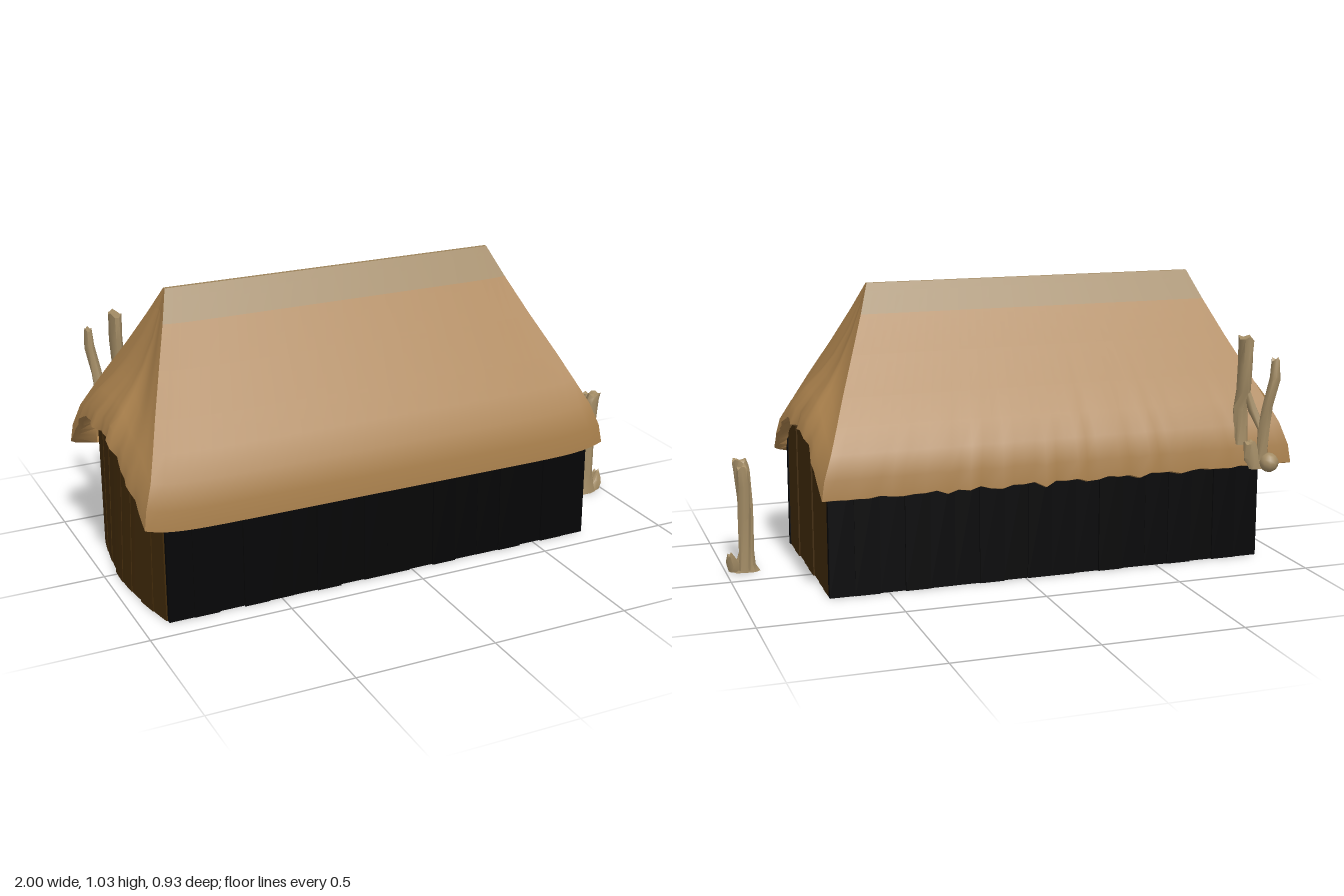
import * as THREE from 'three';
import { toCreasedNormals } from 'three/addons/utils/BufferGeometryUtils.js';

const paint = (name, color) => {
  const m = new THREE.MeshStandardMaterial({ color });
  m.name = name;
  return m;
};
const lerp = THREE.MathUtils.lerp;

// Skin a stack of closed rings (each an array of [x, y, z], counterclockwise from above)
function loft(rings, bottom, top, crease = 0.9) {
  const n = rings[0].length, pos = rings.flat(2), idx = [];
  for (let k = 0; k < rings.length - 1; k++) {
    for (let i = 0; i < n; i++) {
      const j = (i + 1) % n, a = k * n + i, b = k * n + j;
      idx.push(a, b, b + n, a, b + n, a + n);
    }
  }
  const cap = (k, up) => {
    const c = pos.length / 3;
    for (let d = 0; d < 3; d++) pos.push(rings[k].reduce((s, p) => s + p[d], 0) / n);
    for (let i = 0; i < n; i++) {
      const a = k * n + i, b = k * n + (i + 1) % n;
      idx.push(...(up ? [a, b, c] : [b, a, c]));
    }
  };
  if (bottom) cap(0, false);
  if (top) cap(rings.length - 1, true);
  const g = new THREE.BufferGeometry();
  g.setAttribute('position', new THREE.Float32BufferAttribute(pos, 3));
  g.setIndex(idx);
  return toCreasedNormals(g, crease);
}

// Height of the arched eave across an end of the house
const ARCH = [[0.455, 0.368], [0.36, 0.445], [0.25, 0.49], [0.13, 0.562], [0, 0.56],
  [-0.17, 0.55], [-0.25, 0.49], [-0.32, 0.43], [-0.39, 0.365]];
function arch(z) {
  for (let i = 1; i < ARCH.length; i++) {
    const [z0, y0] = ARCH[i - 1], [z1, y1] = ARCH[i];
    if (z >= z1) return lerp(y0, y1, Math.max(0, (z - z0) / (z1 - z0)));
  }
  return 0.365;
}

// Steps taken around the roof: front, left end, back, right end
const SIDES = [['front', 40], ['left', 28], ['back', 44], ['right', 28]];

// Eave point, ragged offset and matching ridge point for every step
function roofOutline() {
  const out = [];
  const x0 = -0.985, x1 = 0.75, zF = 0.455, zB = -0.385;
  const ridge = { x0: -0.747, x1: 0.483, f: 0.048, b: 0.034, y: 1.034 };
  const ragged = (v) => 0.5 * Math.sin(v * 37) + 0.5 * Math.sin(v * 71 + 1);
  for (const [side, n] of SIDES) {
    for (let i = 0; i < n; i++) {
      const f = i / n, bulge = Math.sin(Math.PI * f);
      if (side === 'front') {
        // the front eave curls up and back near its corners
        const curl = Math.abs(2 * f - 1) ** 12;
        out.push({ e: [lerp(x0, x1, f), 0.345 + 0.023 * curl, 0.466 - 0.011 * curl], noise: [0, 0, 0],
          end: 0, r: [lerp(ridge.x0, ridge.x1, f), ridge.y, ridge.f] });
      } else if (side === 'back') {
        const x = lerp(x1, x0, f);
        out.push({ e: [x, 0.37, zB], end: 0,
          noise: [0, 0.013 * bulge * ragged(x), 0.01 * bulge * ragged(x * 1.3)],
          r: [lerp(ridge.x1, ridge.x0, f), ridge.y, ridge.b] });
      } else {
        const left = side === 'left', g = left ? f : 1 - f, z = lerp(zF, zB, g);
        out.push({ e: [left ? x1 + 0.015 * bulge : x0 - 0.008 * bulge, arch(z), z], end: bulge,
          noise: [0.014 * bulge * ragged(z), 0.008 * bulge * ragged(z + 2), 0],
          r: [left ? ridge.x1 : ridge.x0, ridge.y, lerp(ridge.f, ridge.b, g)] });
      }
    }
  }
  return out;
}

// Rise, inward travel of the long slopes, of the hip corners, and of the middle of the ends
const LEVELS = [[0, 0, 0, 0], [0.1, 0.015, 0.04, 0.06], [0.22, 0.07, 0.15, 0.24], [0.34, 0.21, 0.28, 0.44],
  [0.47, 0.37, 0.42, 0.61], [0.66, 0.61, 0.64, 0.79], [0.85, 0.83, 0.85, 0.92],
  [0.96, 0.955, 0.96, 0.98], [1, 1, 1, 1]];

function createRoofRings() {
  const outline = roofOutline(), clamp = THREE.MathUtils.clamp;
  const soffit = outline.map(({ e }) => [clamp(e[0], -0.92, 0.69), e[1] + 0.025, clamp(e[2], -0.27, 0.4)]);
  const lip = outline.map(({ e, noise }) => [(e[0] + noise[0]) * 0.985, e[1] + noise[1] - 0.004, (e[2] + noise[2]) * 0.97]);
  // the raggedness fades out quickly above the eave
  const slopes = LEVELS.map(([rise, long, corner, hip]) => outline.map(({ e, r, noise, end }) => {
    const travel = [lerp(corner, hip, end), rise, lerp(long, hip, end)], fade = (1 - rise) ** 7;
    return travel.map((t, d) => lerp(e[d], r[d], t) + noise[d] * fade);
  }));
  return [soffit, lip, ...slopes];
}

// Ridge cap: pale straw (0) on the long slopes and top, thatch (1) on the hip ends
function createRidgeCap(rings) {
  const g = loft(rings, false, true);
  let start = 0;
  for (let band = 1; band < rings.length; band++) {
    for (const [side, n] of SIDES) {
      g.addGroup(start, n * 6, side === 'front' || side === 'back' ? 0 : 1);
      start += n * 6;
    }
  }
  g.addGroup(start, rings[0].length * 3, 0);
  return g;
}

// Knotty limb through sections [x, y, z, half width x, half width z]
function limb(sections) {
  const rings = sections.map(([x, y, z, rx, rz], k) => Array.from({ length: 9 }, (_, i) => {
    const a = -i / 9 * Math.PI * 2, w = 1 + 0.1 * Math.sin(i * 2.3 + k * 1.7);
    return [x + Math.cos(a) * rx * w, y + 0.008 * Math.sin(i * 2 + k) * Math.min(k, 1), z + Math.sin(a) * rz * w];
  }));
  return loft(rings, true, true);
}

export function createModel() {
  const model = new THREE.Group();
  const thatch = paint('thatch', 0xa87f4b);
  const ridgeStraw = paint('ridge straw', 0x9c835b);
  const tarred = paint('tarred boards', 0x050506);
  const brown = paint('brown boards', 0x412a09);
  const wood = paint('bare wood', 0xa48d66);
  thatch.side = THREE.DoubleSide;

  const add = (name, geometry, material, parent = model) => {
    const mesh = new THREE.Mesh(geometry, material);
    mesh.name = name;
    parent.add(mesh);
  };
  const group = (name) => {
    const g = new THREE.Group();
    g.name = name;
    model.add(g);
    return g;
  };

  // Thatched hip roof with its ridge cap
  const rings = createRoofRings(), split = rings.length - 3;
  add('thatchedRoof', loft(rings.slice(0, split + 1), false, false), thatch);
  add('ridgeCap', createRidgeCap(rings.slice(split)), [ridgeStraw, thatch]);

  // House body and floor
  add('houseCore', new THREE.BoxGeometry(1.58, 0.4, 0.67).translate(-0.1, 0.2, 0.065), brown);

  // Dark upright boards along the front and back
  const longWalls = group('longWalls'), boards = 18, bw = 1.615 / boards;
  for (const [name, z, s] of [['frontBoard', 0.405, 1], ['backBoard', -0.277, -1]]) {
    for (let i = 0; i < boards; i++) {
      const out = s * 0.004 * Math.sin(i * 2.4);
      add(name, new THREE.BoxGeometry(bw, 0.48, 0.022)
        .translate(-0.905 + bw * (i + 0.5), 0.24, z + out), tarred, longWalls);
    }
  }

  // Brown boards on the ends, cut to follow the arched eaves; one end bows outward, most at the ground
  const endWalls = group('endWalls'), n = 8, ew = 0.67 / n;
  for (const [name, x, s, bow] of [['rightSideBoard', -0.875, -1, 0.042], ['leftSideBoard', 0.672, 1, 0]]) {
    for (let i = 0; i < n; i++) {
      const g = new THREE.BoxGeometry(0.07, 1, ew, 1, 1, 4);
      g.translate(x + s * 0.003 * Math.sin(i * 2.1 + 1), 0.5, -0.27 + ew * (i + 0.5));
      const p = g.attributes.position;
      for (let v = 0; v < p.count; v++) {
        const z = p.getZ(v), top = p.getY(v) > 0.5;
        p.setX(v, p.getX(v) + s * bow * (top ? 0.5 : 1) * Math.sin(Math.PI * (z + 0.27) / 0.67));
        if (top) p.setY(v, arch(z) + 0.03);
      }
      g.computeVertexNormals();
      add(name, g, brown, endWalls);
    }
  }

  // Split post standing beside the house
  const post = group('standingPost');
  add('postTrunk', limb([[0.925, 0, 0.115, 0.05, 0.028], [0.925, 0.025, 0.115, 0.035, 0.026],
    [0.922, 0.08, 0.115, 0.026, 0.024], [0.924, 0.25, 0.117, 0.027, 0.025],
    [0.93, 0.38, 0.118, 0.029, 0.026], [0.938, 0.41, 0.12, 0.024, 0.024]]), wood, post);
  add('postBranch', limb([[0.935, 0.01, 0.092, 0.02, 0.015], [0.93, 0.2, 0.095, 0.022, 0.016],
    [0.932, 0.33, 0.08, 0.024, 0.022], [0.938, 0.395, 0.075, 0.018, 0.016]]), wood, post);
  add('postFoot', limb([[0.955, 0.004, 0.115, 0.035, 0.02], [0.972, 0.035, 0.108, 0.026, 0.02],
    [0.985, 0.07, 0.098, 0.01, 0.01]]), wood, post);

  // Gnarled branches rising from the back eave
  const branches = group('roofBranches');
  add('broadBranch', limb([[-0.79, 0.45, -0.37, 0.024, 0.02], [-0.79, 0.58, -0.36, 0.026, 0.024],
    [-0.795, 0.65, -0.37, 0.022, 0.038], [-0.8, 0.75, -0.362, 0.022, 0.042],
    [-0.8, 0.835, -0.365, 0.022, 0.042]]), wood, branches);
  add('thinBranch', limb([[-0.85, 0.4, -0.415, 0.02, 0.018], [-0.855, 0.52, -0.42, 0.02, 0.024],
    [-0.86, 0.6, -0.43, 0.018, 0.02], [-0.875, 0.7, -0.447, 0.018, 0.022],
    [-0.88, 0.765, -0.442, 0.014, 0.016]]), wood, branches);
  add('branchFork', limb([[-0.85, 0.5, -0.415, 0.014, 0.014], [-0.82, 0.58, -0.395, 0.016, 0.014],
    [-0.795, 0.66, -0.38, 0.014, 0.014]]), wood, branches);
  add('branchKnot', new THREE.SphereGeometry(0.035, 10, 8).translate(-0.87, 0.39, -0.435), wood, branches);
  add('branchRoot', limb([[-0.84, 0.365, -0.41, 0.035, 0.018], [-0.825, 0.4, -0.405, 0.035, 0.022],
    [-0.81, 0.46, -0.4, 0.024, 0.02]]), wood, branches);

  return model;
}
